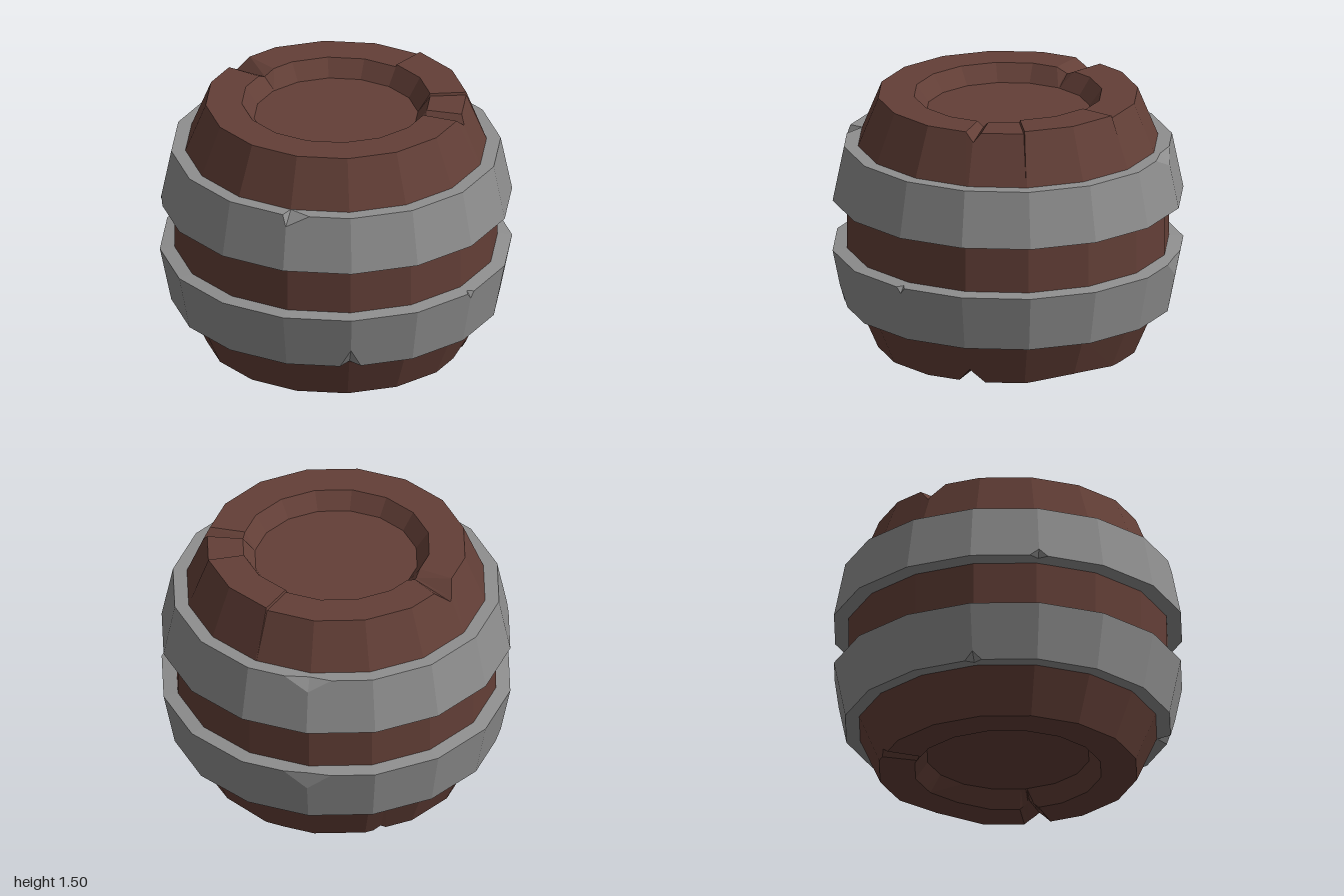
import * as THREE from 'three';

const SIDES = 16, STEP = 360 / SIDES;
const WOOD = 0x633f37, METAL = 0x8e8e8e;
const wrap = (a) => ((a % 360) + 360) % 360;
const rad = THREE.MathUtils.degToRad;

// A chip is [apex angle, width before, width after, depth on the outer edge, reach inwards].
// Returns the depth (or the reach, with key 4) at an angle.
function dip(chips, angle, key = 3) {
  let d = 0;
  for (const chip of chips) {
    const off = wrap(angle - chip[0] + 180) - 180;
    const w = off < 0 ? chip[1] : chip[2];
    d = Math.max(d, chip[key] * (1 - Math.abs(off) / w));
  }
  return d;
}

// Column angles: the regular corners, three for each chip, and any extra ones
function columns(chips, extra = []) {
  const list = Array.from({ length: SIDES }, (_, i) => i * STEP).concat(extra);
  for (const [apex, before, after] of chips) list.push(wrap(apex - before), wrap(apex), wrap(apex + after));
  return list.sort((a, b) => a - b).filter((a, i, all) => i === 0 || a - all[i - 1] > 0.05);
}

// Sweeps a [radius, y] profile (bottom to top) round a sixteen-sided polygon
function sweep(name, color, angles, profileAt) {
  const rows = angles.map((angle) => {
    const t = rad((angle % STEP) - STEP / 2);
    const chord = Math.cos(rad(STEP / 2)) / Math.cos(t); // keeps extra columns on the flat sides
    return profileAt(angle).map(([r, y]) =>
      new THREE.Vector3(Math.sin(rad(angle)) * r * chord, y, Math.cos(rad(angle)) * r * chord));
  });
  const pos = [];
  const tri = (...pts) => {
    if (new THREE.Triangle(...pts).getArea() > 1e-7) pts.forEach((p) => pos.push(p.x, p.y, p.z));
  };
  // Splits each quad along its convex diagonal, so that chips become flat cuts
  const quad = (a, b, c, d) => {
    const n = c.clone().sub(a).cross(d.clone().sub(b));
    const bulge = a.clone().add(c).sub(b).sub(d).dot(n);
    if (bulge >= 0) { tri(a, b, c); tri(a, c, d); } else { tri(a, b, d); tri(b, c, d); }
  };
  rows.forEach((a, i) => {
    const b = rows[(i + 1) % rows.length];
    for (let j = 0; j < a.length - 1; j++) quad(a[j], b[j], b[j + 1], a[j + 1]);
  });
  const geo = new THREE.BufferGeometry();
  geo.setAttribute('position', new THREE.Float32BufferAttribute(pos, 3));
  geo.computeVertexNormals();
  const mesh = new THREE.Mesh(geo, new THREE.MeshStandardMaterial({ color, flatShading: true, side: THREE.DoubleSide }));
  mesh.name = name;
  return mesh;
}

// Wooden body with recessed ends, notched rims and one raised stave end
function body() {
  const top = [[-136, 7, 7, 0.09, 0.03], [67.7, 4, 3, 0.05, 0.03]];
  const bottom = [[66.5, 6, 6, 0.085, 0.05], [187, 3, 3, 0.03, 0.02], [113, 22, 30, 0.03, 0.01]];
  const angles = columns([...top, ...bottom], [89.6, 135.4]);
  return sweep('barrelBody', WOOD, angles, (angle) => {
    const t = dip(top, angle), b = dip(bottom, angle);
    const rim = angle >= 90 && angle <= 135 ? 1.502 : 1.487;
    return [
      [0, 0.095], [0.465, 0.095], [0.535, dip(bottom, angle, 4)], [0.74 + b * 0.4, b],
      [0.855, 0.265], [0.917, 0.42], [0.917, 1.07], [0.855, 1.205],
      [0.74 + t * 0.4, rim - t], [0.535, rim - dip(top, angle, 4)], [0.465, 1.39], [0, 1.39],
    ];
  });
}

// Metal hoop with small flat cuts along its outer edges; the reach is a share of the lip width
function hoop(name, low, high, innerLow, innerHigh, top, bottom) {
  const slope = (high[0] - low[0]) / (high[1] - low[1]);
  const mix = (p, q, s) => [p[0] + (q[0] - p[0]) * s, p[1] + (q[1] - p[1]) * s];
  return sweep(name, METAL, columns([...top, ...bottom]), (angle) => {
    const t = dip(top, angle), b = dip(bottom, angle);
    return [
      innerLow, mix(low, innerLow, dip(bottom, angle, 4)), [low[0] + slope * b, low[1] + b],
      [high[0] - slope * t, high[1] - t], mix(high, innerHigh, dip(top, angle, 4)), innerHigh,
    ];
  });
}

export function createModel() {
  const group = new THREE.Group();
  group.name = 'barrel';
  group.add(
    body(),
    hoop('upperHoop', [1, 0.885], [0.935, 1.205], [0.91, 0.87], [0.85, 1.205],
      [[-22.5, 1.5, 8, 0.065, 0.95], [157.5, 9, 8, 0.07, 0.5]], [[-90, 3, 3, 0.04, 0.4]]),
    hoop('lowerHoop', [0.935, 0.265], [1, 0.588], [0.85, 0.265], [0.91, 0.6],
      [[45, 1.6, 1.6, 0.035, 0.4], [157.5, 8, 8, 0.1, 0.3]],
      [[0, 3.7, 3.7, 0.115, 0.9], [-112.5, 3, 3, 0.05, 0.5]]),
  );
  return group;
}
